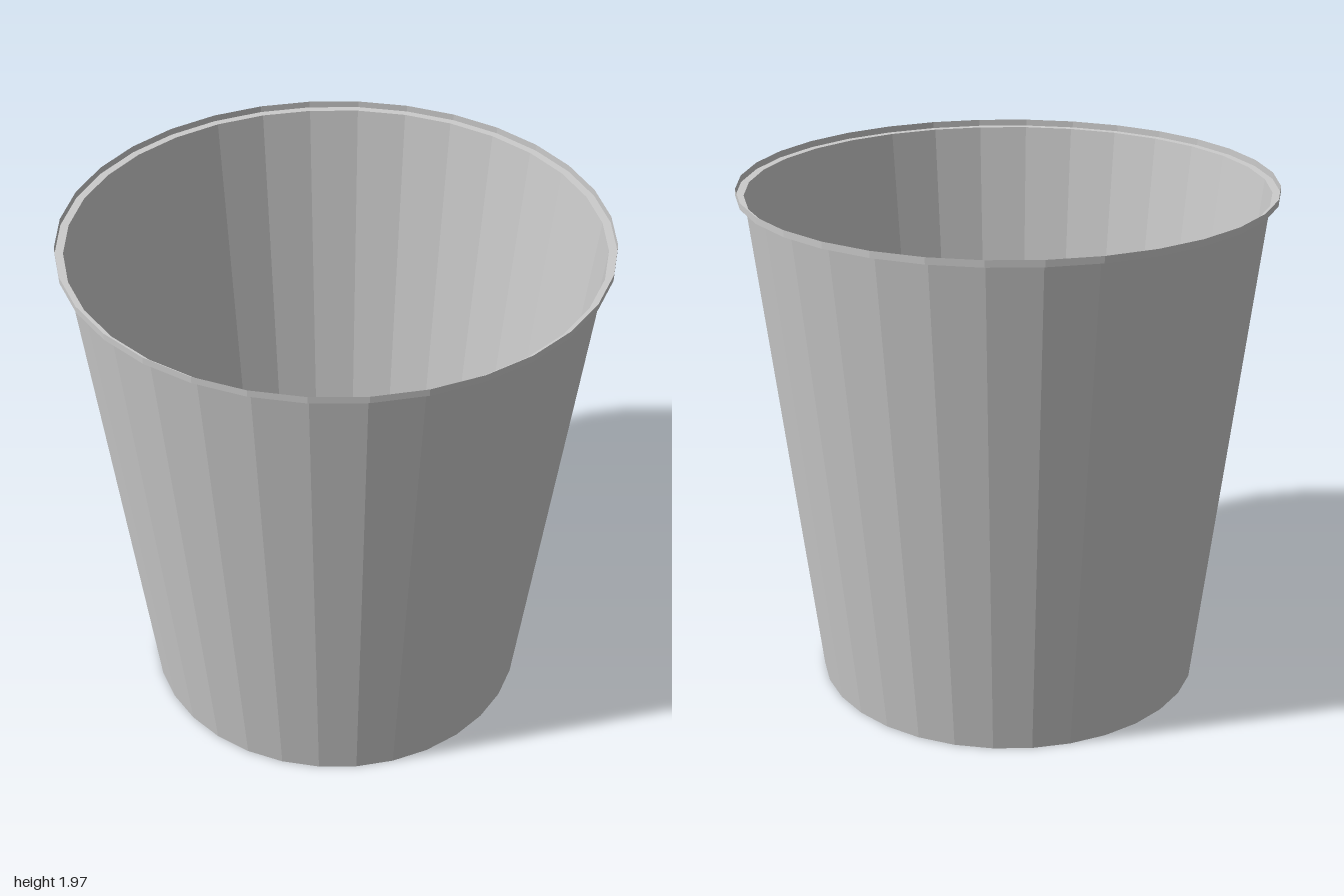
import * as THREE from 'three';

const SIDES = 32;
const BASE_R = 0.745, TOP_R = 0.97, RIM_R = 1.0;
const WALL_TOP = 1.945, HEIGHT = 1.97;

export function createModel() {
  const bucket = new THREE.Group();
  bucket.name = 'bucket';

  // thin sheet material, seen from both sides
  const material = new THREE.MeshStandardMaterial({
    color: 0xcccccc, flatShading: true, side: THREE.DoubleSide,
  });

  const addPart = (name, geometry) => {
    const mesh = new THREE.Mesh(geometry, material);
    mesh.name = name;
    bucket.add(mesh);
    return mesh;
  };
  const revolve = (points) =>
    new THREE.LatheGeometry(points.map(([r, y]) => new THREE.Vector2(r, y)), SIDES);

  // tapered faceted wall
  addPart('wall', revolve([[BASE_R, 0], [TOP_R, WALL_TOP]]));

  // narrow flange with a short upright lip
  addPart('rim', revolve([[TOP_R, WALL_TOP], [RIM_R, WALL_TOP], [RIM_R, HEIGHT]]));

  // flat floor
  addPart('floor', new THREE.CircleGeometry(BASE_R, SIDES).rotateX(-Math.PI / 2));

  return bucket;
}
